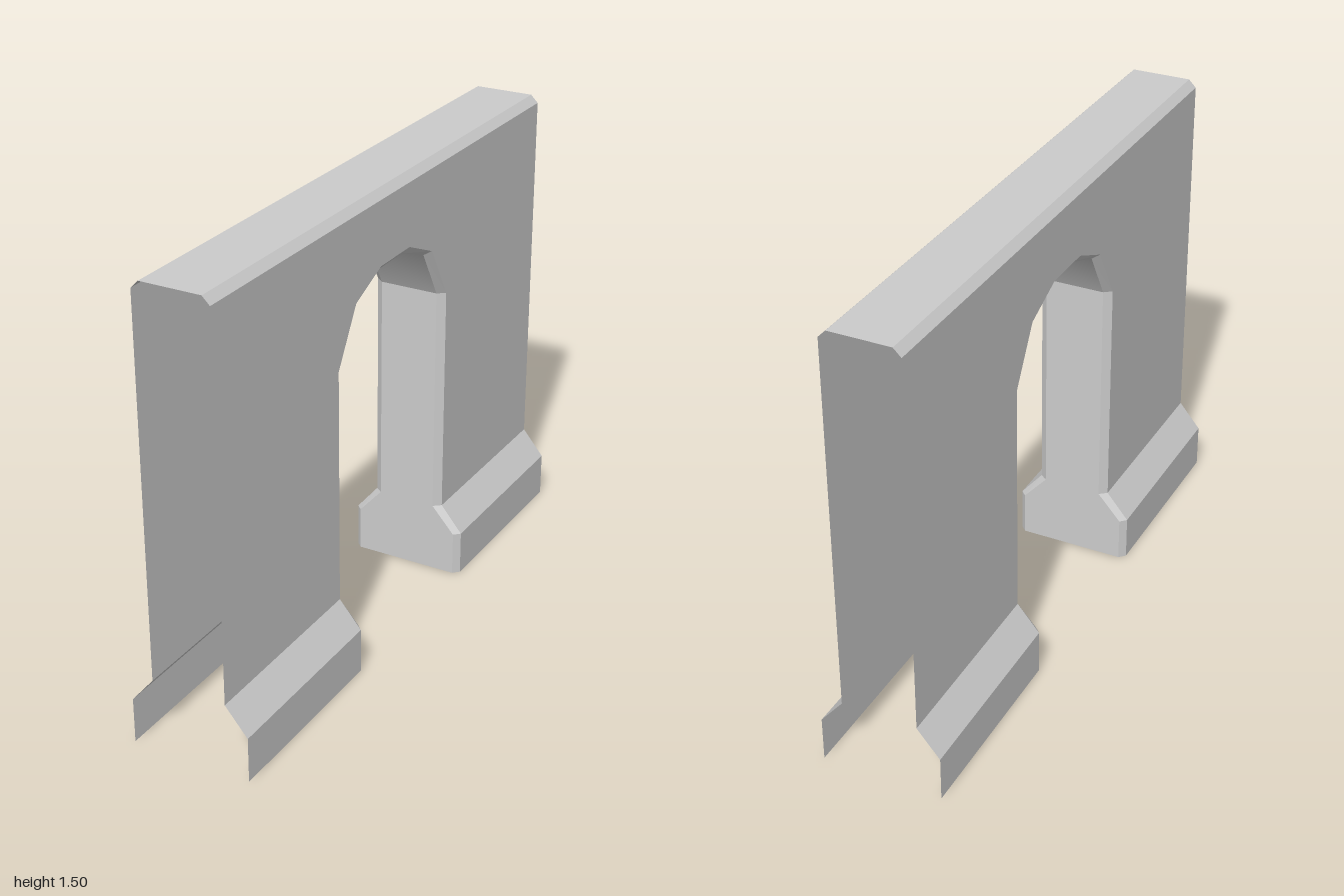
import * as THREE from 'three';
import { mergeVertices } from 'three/addons/utils/BufferGeometryUtils.js';

const material = new THREE.MeshStandardMaterial({ color: 0xcccccc, side: THREE.DoubleSide });

// Ribbon of quads between two rows of [x, y, z] points
function strip(name, a, b, smooth = false) {
  const p = [];
  for (let i = 0; i < a.length - 1; i++) {
    p.push(...a[i], ...a[i + 1], ...b[i + 1], ...a[i], ...b[i + 1], ...b[i]);
  }
  let g = new THREE.BufferGeometry();
  g.setAttribute('position', new THREE.Float32BufferAttribute(p, 3));
  if (smooth) g = mergeVertices(g);
  g.computeVertexNormals();
  return named(name, g);
}

function named(name, geometry) {
  const m = new THREE.Mesh(geometry, material);
  m.name = name;
  return m;
}

// Half of the opening's edge, floor to crown: [x, y, z] on the +x side
const OUTER = [[0.2, 0, 0.345], [0.2, 0.15, 0.345], [0.125, 0.24, 0.345],
  [0.125, 1.02, 0.345], [0.125, 1.2, 0.24], [0.125, 1.265, 0.09]];
const INNER = [[0.18, 0, 0.325], [0.18, 0.15, 0.325], [0.1, 0.24, 0.325],
  [0.1, 1.02, 0.325], [0.1, 1.185, 0.23], [0.1, 1.24, 0.085]];

// Complete the opening over to the -z side, then pick the wall side s
const full = (half) => [...half, ...half.map(([x, y, z]) => [x, y, -z]).reverse()];
const onSide = (pts, s) => pts.map(([x, y, z]) => [s * x, y, z]);

export function createModel() {
  const group = new THREE.Group();
  const outer = full(OUTER), inner = full(INNER);

  // Flat wall outline with the arched opening cut up from below
  const shape = new THREE.Shape([
    [-1, 0.24], ...outer.slice(2, -2).map(([, y, z]) => [-z, y]),
    [1, 0.24], [1, 1.475], [-1, 1.475],
  ].map(([u, v]) => new THREE.Vector2(u, v)));

  for (const s of [1, -1]) {
    const side = s > 0 ? 'left' : 'right';
    const wall = new THREE.ShapeGeometry(shape).rotateY(s * Math.PI / 2).translate(s * 0.125, 0, 0);
    group.add(named(side + 'Wall', wall));

    // Bevel around the opening
    const rows = [onSide(inner, s), onSide(outer, s)];
    if (s < 0) rows.reverse();
    group.add(strip(side + 'OpeningBevel', ...rows));

    // Skirting with sloped top, one length per pier
    for (const t of [1, -1]) {
      const profile = (z) => OUTER.slice(0, 3).map(([x, y]) => [s * x, y, t * z]);
      const ends = [profile(0.345), profile(1)];
      if (s * t < 0) ends.reverse();
      group.add(strip(side + (t > 0 ? 'Front' : 'Back') + 'Skirting', ...ends));
    }
  }

  // Jambs and the softly shaded arch underside between the walls
  const span = (name, from, to, smooth) => {
    const pts = inner.slice(from, to);
    group.add(strip(name, onSide(pts, -1), pts, smooth));
  };
  span('frontJamb', 0, 4);
  span('archUnderside', 3, 9, true);
  span('backJamb', 8, 12);

  // Bevelled top; ends and underside stay open
  const cap = (z) => [[0.125, 1.475, z], [0.1, 1.5, z], [-0.1, 1.5, z], [-0.125, 1.475, z]];
  group.add(strip('topCap', cap(-1), cap(1)));

  return group;
}
